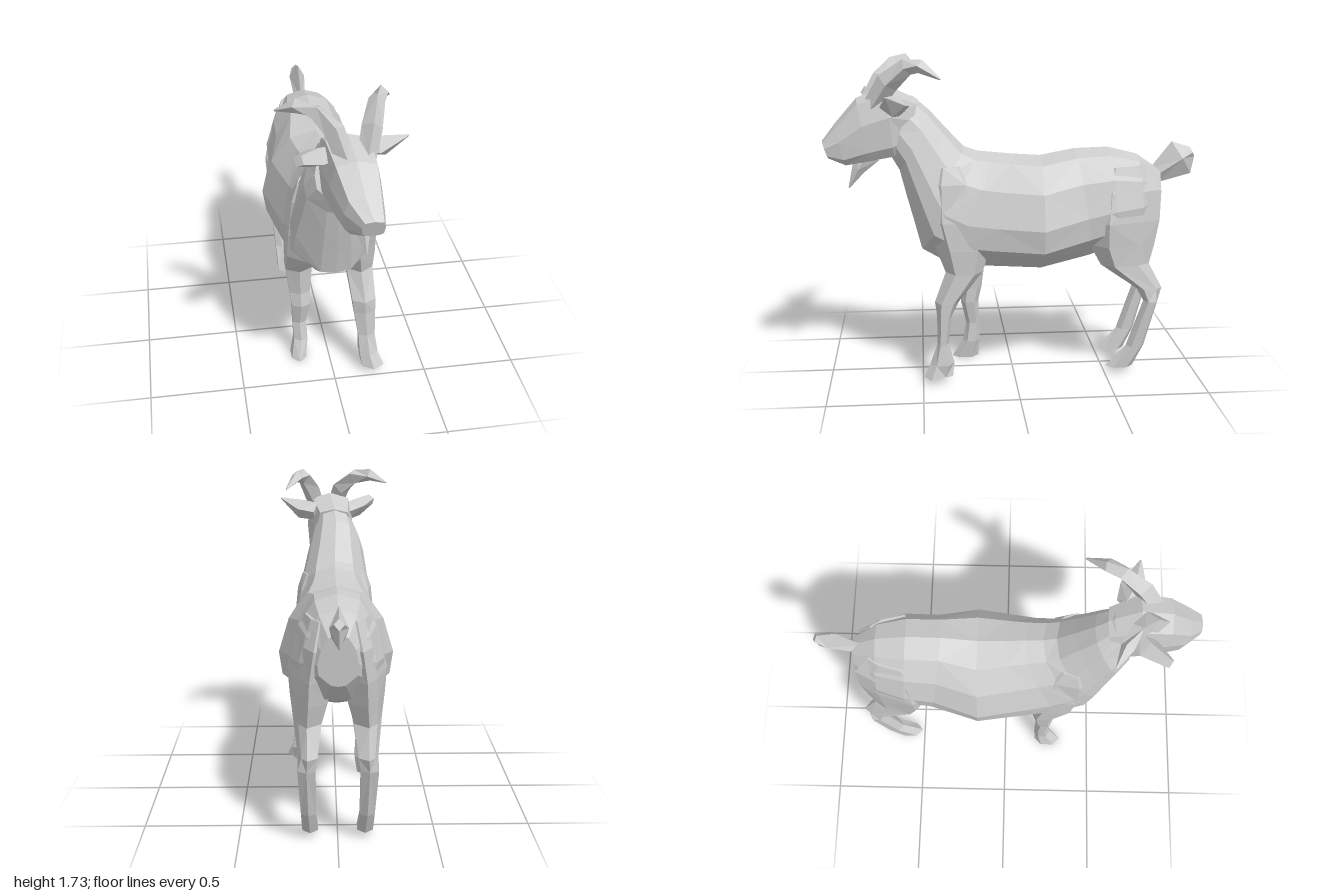
import * as THREE from 'three';

const coat = new THREE.MeshStandardMaterial({ color: 0xcccccc });
coat.name = 'pale grey coat';
coat.flatShading = true;

// Closed skin through rings of points (all rings have the same count)
function loft(name, rings) {
  const n = rings[0].length, pos = [];
  const tri = (a, b, c) => pos.push(...a, ...b, ...c);
  for (let i = 0; i < rings.length - 1; i++) {
    for (let j = 0; j < n; j++) {
      const k = (j + 1) % n;
      const a = rings[i][j], b = rings[i][k], c = rings[i + 1][k], d = rings[i + 1][j];
      if ((i + j) % 2) { tri(a, b, c); tri(a, c, d); } else { tri(a, b, d); tri(b, c, d); }
    }
  }
  const cap = (r, flip) => {
    const m = [0, 1, 2].map(q => r.reduce((s, p) => s + p[q], 0) / n);
    for (let j = 0; j < n; j++) {
      const k = (j + 1) % n;
      if (flip) tri(m, r[k], r[j]); else tri(m, r[j], r[k]);
    }
  };
  cap(rings[0], true);
  cap(rings[rings.length - 1], false);
  // turn the skin outward if its signed volume is negative
  let vol = 0;
  const v = i => new THREE.Vector3(pos[i], pos[i + 1], pos[i + 2]);
  for (let i = 0; i < pos.length; i += 9) vol += v(i).dot(v(i + 3).cross(v(i + 6)));
  if (vol < 0) {
    for (let i = 0; i < pos.length; i += 9) {
      for (let q = 0; q < 3; q++) [pos[i + q], pos[i + 3 + q]] = [pos[i + 3 + q], pos[i + q]];
    }
  }
  const g = new THREE.BufferGeometry();
  g.setAttribute('position', new THREE.Float32BufferAttribute(pos, 3));
  g.computeVertexNormals();
  const mesh = new THREE.Mesh(g, coat);
  mesh.name = name;
  return mesh;
}

// Mirrored slice; section = [top z, top y, bottom z, bottom y, half width, centre x]
// profile = pairs of (share of half width, share of the way from top to bottom)
function slice([tz, ty, bz, by, w, cx = 0], profile) {
  const at = (u, t) => [cx + u * w, ty + (by - ty) * t, tz + (bz - tz) * t];
  const half = profile.map(([u, t]) => at(u, t));
  const other = profile.filter(([u]) => u > 0).reverse().map(([u, t]) => at(-u, t));
  return [...half, ...other];
}

// Horizontal six-sided leg ring; section = [y, front z, back z, inner x, outer x, back outer x]
function legRing([y, zf, zb, xi, xo, xb = xo], side) {
  const xm = (xi + xo) / 2, z1 = zf + (zb - zf) * 0.25, z2 = zf + (zb - zf) * 0.75;
  return [[xm, zf], [xo, z1], [xb, z2], [xm, zb], [xi, z2], [xi, z1]].map(([x, z]) => [side * x, y, z]);
}
const leg = (name, side, rows) => loft(name, rows.map(r => legRing(r, side)));

// Tapered four-sided sweep; path = [x, y, z, radius along ref, radius across]
function sweep(name, path, ref) {
  const p = path.map(q => new THREE.Vector3(q[0], q[1], q[2]));
  return loft(name, path.map((q, i) => {
    const t = p[Math.min(i + 1, p.length - 1)].clone().sub(p[Math.max(i - 1, 0)]).normalize();
    const b = t.clone().cross(ref).normalize();
    const a = b.clone().cross(t);
    return [[1, 0], [0, 1], [-1, 0], [0, -1]].map(([c, s]) =>
      p[i].clone().addScaledVector(a, c * q[3]).addScaledVector(b, s * q[4]).toArray());
  }));
}

export function createModel() {
  const goat = new THREE.Group();
  goat.name = 'goat';
  const X = new THREE.Vector3(1, 0, 0), Z = new THREE.Vector3(0, 0, 1);

  // Neck, chest, barrel and rump in one skin
  const bodyProfile = [[0, 0], [0.48, 0.06], [0.82, 0.28], [1, 0.58], [0.94, 0.78], [0.35, 0.98], [0, 1]];
  goat.add(loft('body', [
    [0.53, 1.53, 0.65, 1.21, 0.125, 0],
    [0.44, 1.45, 0.605, 1.13, 0.16, -0.01],
    [0.35, 1.35, 0.57, 0.99, 0.185, -0.005],
    [0.26, 1.255, 0.53, 0.84, 0.215],
    [0.19, 1.23, 0.495, 0.7, 0.225],
    [0.1, 1.22, 0.35, 0.615, 0.24],
    [0.0, 1.21, 0.16, 0.6, 0.265],
    [-0.15, 1.2, -0.15, 0.585, 0.305],
    [-0.34, 1.235, -0.42, 0.645, 0.24],
    [-0.52, 1.24, -0.56, 0.7, 0.235],
    [-0.68, 1.2, -0.7, 0.75, 0.19],
    [-0.81, 1.11, -0.79, 0.85, 0.1],
  ].map(s => slice(s, bodyProfile))));

  // Wedge-shaped head, turned slightly to its left
  const headProfile = [[0, 0], [0.8, 0.08], [1, 0.42], [0.9, 0.85], [0.6, 1]];
  goat.add(loft('head', [
    [0.5, 1.51, 0.56, 1.27, 0.1, 0.0],
    [0.66, 1.585, 0.63, 1.22, 0.13, 0.02],
    [0.82, 1.525, 0.75, 1.2, 0.12, 0.035],
    [0.93, 1.4, 0.88, 1.18, 0.095, 0.055],
    [1.0, 1.31, 0.97, 1.22, 0.055, 0.085],
  ].map(s => slice(s, headProfile))));

  // Beard
  goat.add(sweep('beard', [
    [0.05, 1.23, 0.77, 0.05, 0.07],
    [0.07, 1.15, 0.82, 0.035, 0.035],
    [0.08, 1.055, 0.87, 0.004, 0.004],
  ], X));

  // Horns
  goat.add(sweep('leftHorn', [
    [0.09, 1.47, 0.745, 0.045, 0.05],
    [0.135, 1.61, 0.655, 0.05, 0.06],
    [0.175, 1.695, 0.555, 0.04, 0.045],
    [0.21, 1.7, 0.485, 0.035, 0.035],
    [0.27, 1.64, 0.385, 0.005, 0.005],
  ], X));
  goat.add(sweep('rightHorn', [
    [0.0, 1.48, 0.765, 0.045, 0.05],
    [-0.045, 1.615, 0.685, 0.05, 0.055],
    [-0.12, 1.685, 0.62, 0.04, 0.045],
    [-0.21, 1.7, 0.57, 0.035, 0.035],
    [-0.3, 1.66, 0.52, 0.005, 0.005],
  ], X));

  // Ears
  goat.add(sweep('leftEar', [
    [0.1, 1.485, 0.59, 0.05, 0.05],
    [0.19, 1.495, 0.63, 0.07, 0.055],
    [0.31, 1.555, 0.66, 0.004, 0.004],
  ], Z));
  goat.add(sweep('rightEar', [
    [-0.07, 1.475, 0.65, 0.05, 0.05],
    [-0.14, 1.495, 0.7, 0.065, 0.05],
    [-0.225, 1.53, 0.79, 0.03, 0.03],
  ], Z));

  // Short upturned tail
  goat.add(sweep('tail', [
    [0, 1.075, -0.78, 0.03, 0.045],
    [0, 1.175, -0.93, 0.045, 0.105],
    [0, 1.205, -0.99, 0.025, 0.03],
  ], X));

  // Front legs with shoulders, in mid-stride
  const shoulder = [
    [1.17, 0.41, 0.27, 0.08, 0.18, 0.16],
    [1.08, 0.45, 0.2, 0.08, 0.21, 0.19],
    [0.88, 0.47, 0.13, 0.06, 0.23],
    [0.73, 0.42, 0.13, 0.05, 0.235],
  ];
  goat.add(leg('leftFrontLeg', 1, [
    ...shoulder,
    [0.6, 0.37, 0.17, 0.09, 0.23],
    [0.44, 0.43, 0.3, 0.11, 0.235],
    [0.36, 0.42, 0.34, 0.12, 0.235],
    [0.21, 0.42, 0.36, 0.145, 0.235],
    [0.1, 0.46, 0.33, 0.15, 0.25],
    [0.03, 0.495, 0.34, 0.16, 0.28, 0.24],
  ]));
  goat.add(leg('rightFrontLeg', -1, [
    ...shoulder,
    [0.58, 0.29, 0.14, 0.09, 0.23],
    [0.42, 0.27, 0.16, 0.1, 0.21],
    [0.34, 0.28, 0.18, 0.1, 0.2],
    [0.21, 0.25, 0.175, 0.12, 0.195],
    [0.1, 0.27, 0.175, 0.115, 0.19],
    [0.0, 0.33, 0.18, 0.13, 0.21],
  ]));

  // Hind legs with haunches
  for (const [name, side] of [['leftHindLeg', 1], ['rightHindLeg', -1]]) {
    goat.add(leg(name, side, [
      [1.15, -0.48, -0.72, 0.02, 0.16, 0.13],
      [1.02, -0.42, -0.8, 0.02, 0.215, 0.165],
      [0.86, -0.4, -0.79, 0.03, 0.25, 0.19],
      [0.73, -0.41, -0.765, 0.05, 0.24, 0.195],
      [0.62, -0.47, -0.735, 0.08, 0.225, 0.195],
      [0.48, -0.67, -0.81, 0.1, 0.2, 0.18],
      [0.41, -0.71, -0.79, 0.11, 0.2],
      [0.15, -0.62, -0.72, 0.11, 0.185],
      [0.03, -0.51, -0.66, 0.1, 0.18],
    ]));
  }
  return goat;
}
